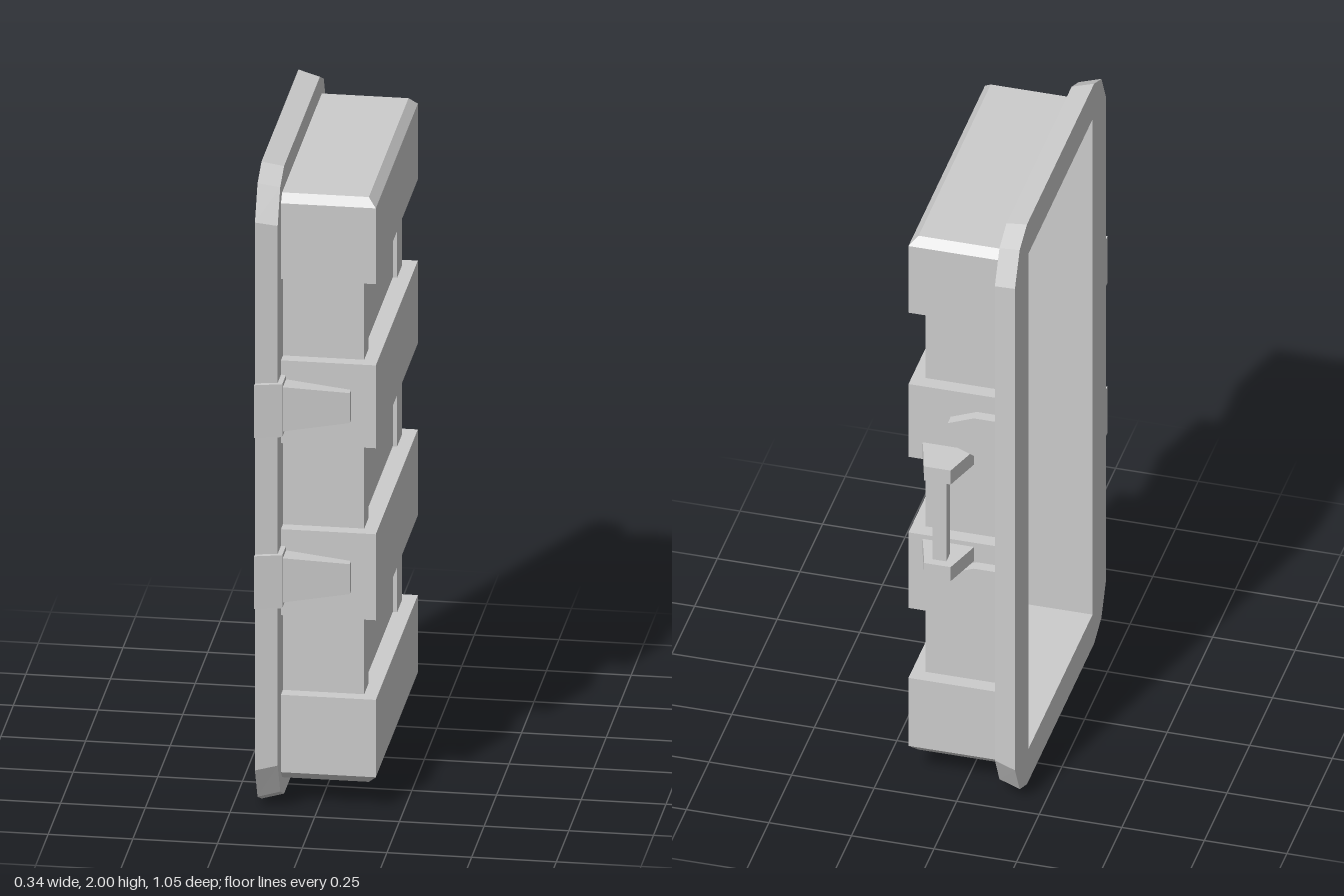
import * as THREE from 'three';
import { ConvexGeometry } from 'three/addons/geometries/ConvexGeometry.js';

const material = new THREE.MeshStandardMaterial({ color: 0xcccccc, flatShading: true });

function add(parent, name, geometry) {
  const mesh = new THREE.Mesh(geometry, material);
  mesh.name = name;
  parent.add(mesh);
  return mesh;
}

// Upright prism from an outline of [x, z] points
function prism(points, y0, y1) {
  const shape = new THREE.Shape(points.map(([x, z]) => new THREE.Vector2(x, -z)));
  const g = new THREE.ExtrudeGeometry(shape, { depth: y1 - y0, bevelEnabled: false });
  return g.rotateX(-Math.PI / 2).translate(0, y0, 0);
}

// Solid spanning two or more cross-sections
function hull(points) {
  return new ConvexGeometry(points.map((p) => new THREE.Vector3(...p)));
}

function box(x0, x1, y0, y1, z0, z1) {
  return new THREE.BoxGeometry(x1 - x0, y1 - y0, z1 - z0)
    .translate((x0 + x1) / 2, (y0 + y1) / 2, (z0 + z1) / 2);
}

// Cavity limits and main planes
const IN_Z0 = -0.345, IN_Z1 = 0.36, IN_X = 0.11;
const IN_Y0 = 0.115, IN_Y1 = 1.885;
const BACK = -0.175, LIP = -0.11;

// Chamfered ring around the opening, tapering towards the shell
function rimGeometry() {
  const corner = [[0.5025, 0.86], [0.45, 0.963], [0.37, 1]];
  const outline = [];
  for (const [sz, sy] of [[1, 1], [-1, 1], [-1, -1], [1, -1]]) {
    const pts = corner.map(([z, y]) => new THREE.Vector2(-(z * sz + 0.0075), 1 + y * sy));
    outline.push(...(sz * sy > 0 ? pts : pts.reverse()));
  }
  const shape = new THREE.Shape(outline);
  shape.holes.push(new THREE.Path([
    [-IN_Z0, IN_Y0], [-IN_Z0, IN_Y1], [-IN_Z1, IN_Y1], [-IN_Z1, IN_Y0],
  ].map((p) => new THREE.Vector2(...p))));
  const g = new THREE.ExtrudeGeometry(shape, { depth: LIP - BACK, bevelEnabled: false });
  g.rotateY(Math.PI / 2).translate(BACK, 0, 0);
  const p = g.attributes.position;
  for (let i = 0; i < p.count; i++) {
    const y = p.getY(i) - 1, z = p.getZ(i) - 0.0075;
    const outer = Math.abs(y) > 0.89 || Math.abs(z) > 0.37;
    if (outer && p.getX(i) > -0.14) {
      p.setY(i, 1 + y * 0.985);
      p.setZ(i, 0.0075 + z * 0.97);
    }
  }
  g.computeVertexNormals();
  return g;
}

export function createModel() {
  const model = new THREE.Group();
  model.name = 'caseHalf';

  add(model, 'rim', rimGeometry());

  // Thin-walled shell with a shallow sunken panel on its face
  const cavity = [[LIP, IN_Z0], [IN_X, IN_Z0], [IN_X, IN_Z1], [LIP, IN_Z1]];
  add(model, 'shell', prism([
    ...cavity, [LIP, 0.39], [0.13, 0.39], [0.13, 0.30], [0.117, 0.30],
    [0.117, -0.27], [0.13, -0.27], [0.13, -0.37], [LIP, -0.37],
  ], IN_Y0, IN_Y1));

  // Raised bands wrapping the shell
  const bands = [[0.11, 0.35], [0.60, 0.87], [1.14, 1.40], [1.655, 1.895]];
  const bandOutline = [...cavity, [LIP, 0.43], [0.17, 0.43], [0.17, -0.413], [LIP, -0.413]];
  for (const [y0, y1] of bands) {
    add(model, 'band', prism(bandOutline, Math.max(y0, IN_Y0), Math.min(y1, IN_Y1)));
  }

  // Bevelled end walls
  for (const s of [1, -1]) {
    const section = (h, inset) => [
      [LIP, 1 + s * h, -0.413 + inset], [0.17 - inset, 1 + s * h, -0.413 + inset],
      [0.17 - inset, 1 + s * h, 0.43 - inset], [LIP, 1 + s * h, 0.43 - inset],
    ];
    add(model, 'endWall', hull([
      ...section(0.885, 0), ...section(0.893, 0), ...section(0.918, 0.024),
    ]));
  }

  // Inside faces of the sunken panels
  for (let i = 0; i < 3; i++) {
    add(model, 'innerPanel', box(0.1, 0.112, bands[i][1], bands[i + 1][0], -0.27, 0.30));
  }

  for (const y of [0.735, 1.272]) {
    // Front latch: block over the rim and a tapered tongue
    const latch = new THREE.Group();
    latch.name = 'latch';
    model.add(latch);
    add(latch, 'latchBlock', prism(
      [[BACK, 0.43], [BACK, 0.525], [-0.095, 0.505], [-0.095, 0.43]], y - 0.083, y + 0.083));
    const tongue = [];
    for (const s of [1, -1]) {
      tongue.push([-0.1, y + s * 0.07, 0.42], [-0.1, y + s * 0.07, 0.495],
        [0.097, y + s * 0.047, 0.42], [0.097, y + s * 0.047, 0.456]);
    }
    add(latch, 'latchTongue', hull(tongue));

    // Rear plate with chamfered end
    const plate = [];
    for (const z of [-0.40, -0.447]) {
      for (const s of [1, -1]) {
        plate.push([LIP, y + s * 0.067, z], [-0.037, y + s * 0.067, z], [0.042, y + s * 0.035, z]);
      }
    }
    add(model, 'rearPlate', hull(plate));
  }

  // Rear carrying handle
  const handle = new THREE.Group();
  handle.name = 'handle';
  model.add(handle);
  for (const y of [0.805, 1.15]) {
    add(handle, 'handleMount', prism(
      [[-0.03, -0.41], [0.128, -0.41], [0.09, -0.53], [0.01, -0.53]], y, y + 0.05));
  }
  add(handle, 'handleBar', box(0.03, 0.072, 0.85, 1.155, -0.505, -0.463));

  return model;
}
